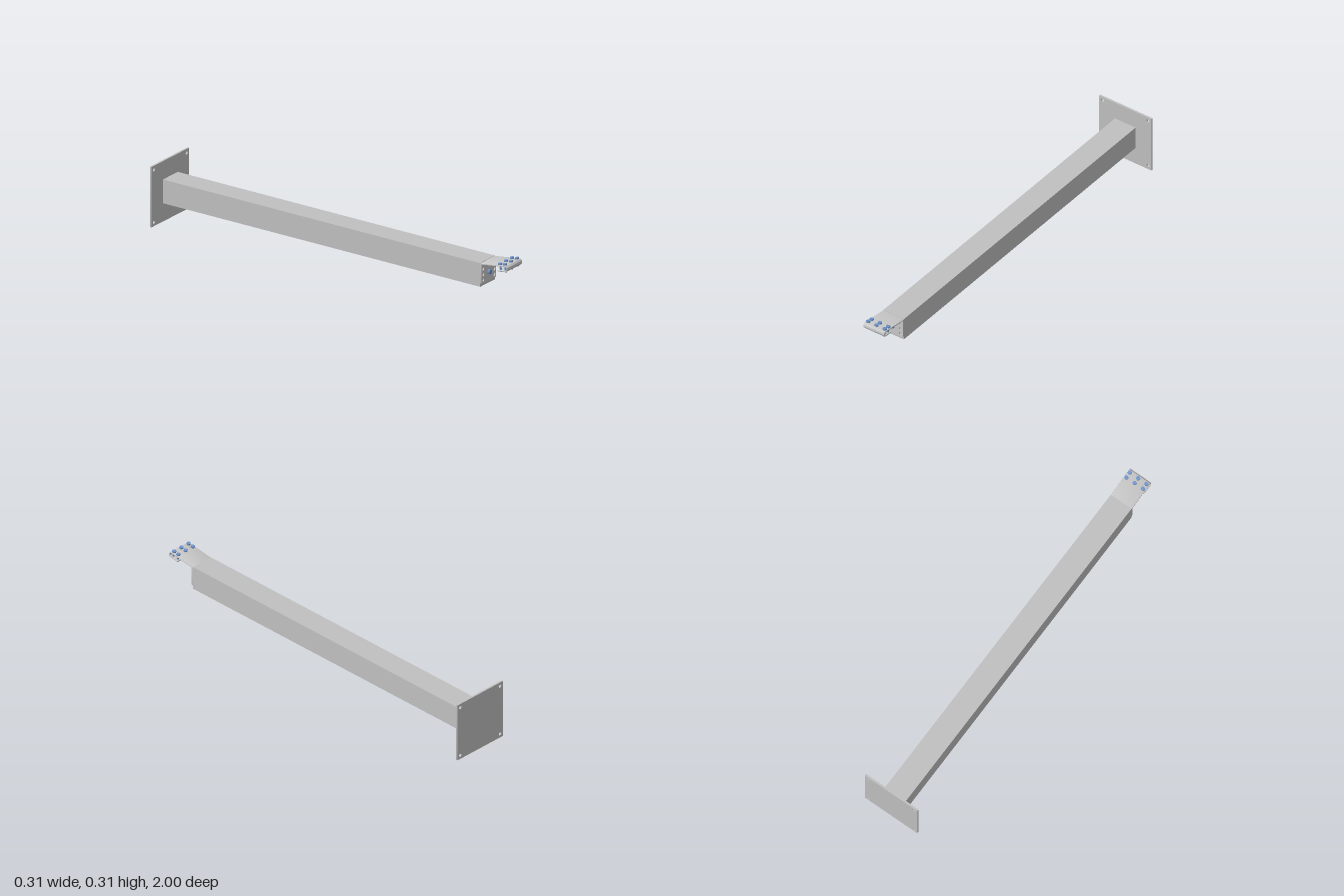
import * as THREE from 'three';
import { toCreasedNormals } from 'three/addons/utils/BufferGeometryUtils.js';

const material = (name, color) => {
  const m = new THREE.MeshStandardMaterial({ color });
  m.name = name;
  return m;
};

// Rectangular plate in the xy plane with round holes, thickness along +z
function holedPlate(x0, y0, x1, y1, r, holes, holeRadius, depth) {
  const s = new THREE.Shape();
  s.moveTo(x0 + r, y0).lineTo(x1 - r, y0).quadraticCurveTo(x1, y0, x1, y0 + r);
  s.lineTo(x1, y1).lineTo(x0, y1).lineTo(x0, y0 + r).quadraticCurveTo(x0, y0, x0 + r, y0);
  for (const [x, y] of holes) {
    s.holes.push(new THREE.Path().absarc(x, y, holeRadius, 0, Math.PI * 2, true));
  }
  const g = new THREE.ExtrudeGeometry(s, { depth, bevelEnabled: false, curveSegments: 16 });
  return toCreasedNormals(g, 0.6);
}

export function createModel() {
  const model = new THREE.Group();
  const steel = material('galvanised steel', 0xc0c0c0);
  const bracketSteel = material('bracket steel', 0xc8c8c8);
  const blue = material('blue fastener', 0x6f94cc);
  const add = (parent, name, geometry, mat, x = 0, y = 0, z = 0) => {
    const mesh = new THREE.Mesh(geometry, mat);
    mesh.name = name;
    mesh.position.set(x, y, z);
    parent.add(mesh);
    return mesh;
  };
  const midY = 0.1525;

  // Wall plate with four corner holes
  const corners = [-0.1325, 0.1325].flatMap((x) => [0.02, 0.285].map((y) => [x, y]));
  add(model, 'wallPlate',
    holedPlate(-0.1525, 0, 0.1525, 0.305, 0.001, corners, 0.0085, 0.01), steel, 0, 0, -1);

  // Square beam
  const beamEnd = 0.842;
  const beamLength = beamEnd + 0.99;
  add(model, 'beam', new THREE.BoxGeometry(0.12, 0.12, beamLength), steel,
    0, midY, beamEnd - beamLength / 2);

  // Upright bracket plate on the beam end
  const boltHoles = [-0.045, 0.045].flatMap((x) => [0.124, midY, 0.181].map((y) => [x, y]));
  add(model, 'bracketPlate',
    holedPlate(-0.06, 0.108, 0.06, 0.209, 0.005, boltHoles, 0.0085, 0.007),
    bracketSteel, 0, 0, beamEnd);
  add(model, 'centreBolt', new THREE.CylinderGeometry(0.0125, 0.0125, 0.012, 6), blue,
    0, midY, beamEnd + 0.013).rotation.x = Math.PI / 2;

  // Tilted tongue that curls under itself at the tip
  const arm = new THREE.Group();
  arm.name = 'clampArm';
  arm.position.set(0, 0.211, beamEnd);
  arm.rotation.x = -0.14;
  model.add(arm);
  const radius = 0.0155, thick = 0.006, tip = 0.1415, lip = 0.098;
  const profile = new THREE.Shape();
  profile.moveTo(0, 0).lineTo(tip, 0);
  profile.absarc(tip, -radius, radius, Math.PI / 2, -Math.PI / 2, true);
  profile.lineTo(lip, -2 * radius).lineTo(lip, -2 * radius + thick);
  profile.lineTo(tip, -2 * radius + thick);
  profile.absarc(tip, -radius, radius - thick, -Math.PI / 2, Math.PI / 2, false);
  profile.lineTo(0, -thick);
  const bevel = 0.002;
  const tongue = new THREE.ExtrudeGeometry(profile, {
    depth: 0.122 - 2 * bevel, curveSegments: 16,
    bevelThickness: bevel, bevelSize: bevel, bevelOffset: -bevel, bevelSegments: 2,
  });
  tongue.translate(0, 0, -0.061 + bevel).rotateY(-Math.PI / 2);
  add(arm, 'curledTongue', toCreasedNormals(tongue, 0.6), bracketSteel);

  // Two rows of three clamp bolts
  for (const z of [0.109, 0.137]) {
    for (const x of [-0.048, 0, 0.048]) {
      add(arm, 'boltHead', new THREE.CylinderGeometry(0.0105, 0.0105, 0.008, 6), blue, x, 0.004, z);
      add(arm, 'boltShank', new THREE.CylinderGeometry(0.005, 0.005, 0.036, 12), blue, x, -0.018, z);
    }
  }
  return model;
}
